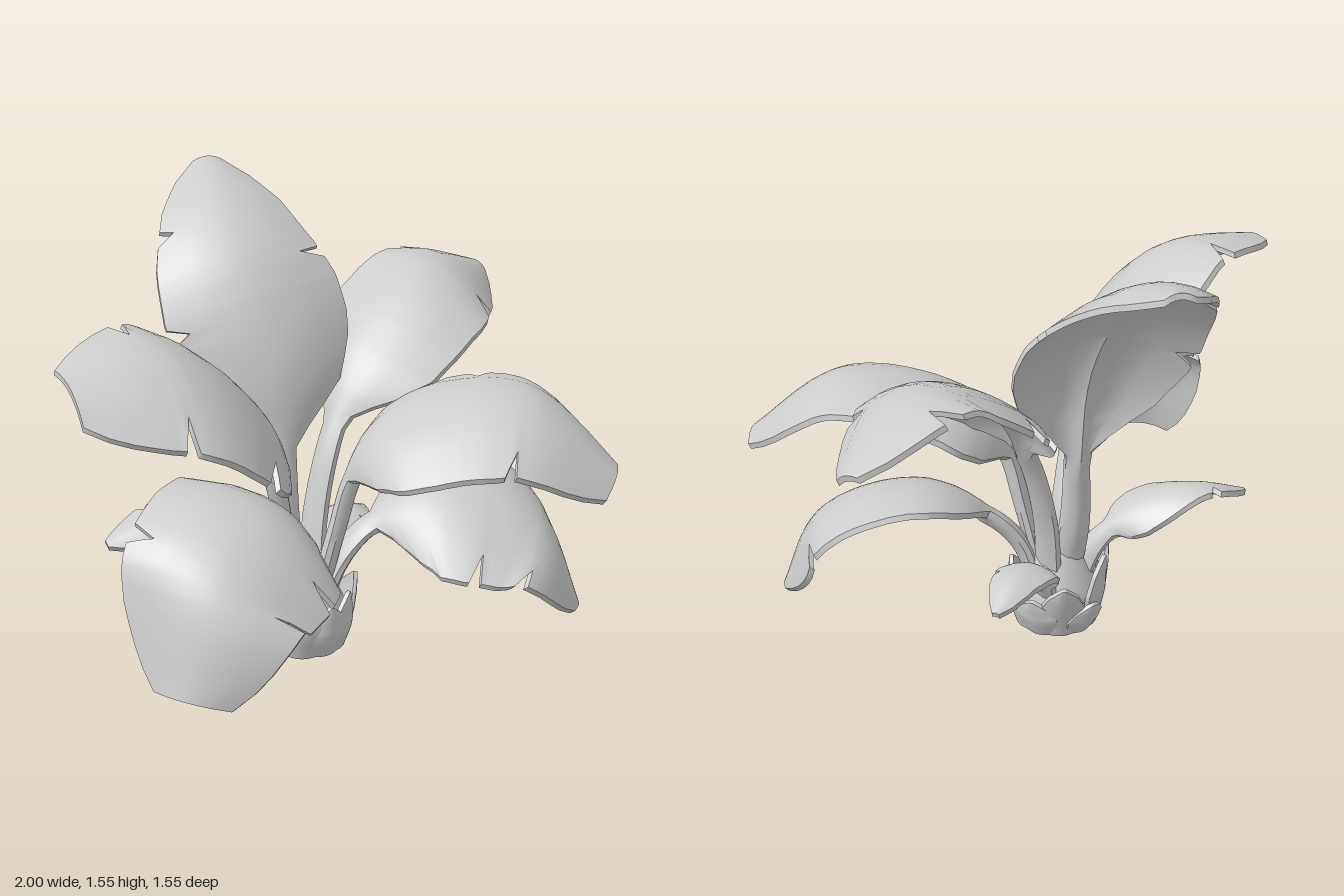
import * as THREE from 'three';
import { toCreasedNormals } from 'three/addons/utils/BufferGeometryUtils.js';

const V = (p) => new THREE.Vector3(...p);
const ACROSS = [-1, -0.62, -0.3, -0.1, 0, 0.1, 0.3, 0.62, 1];

// Half-width along the blade, as a share of the widest point
const BLADE = [[0, 0.13], [0.06, 0.34], [0.15, 0.7], [0.28, 0.95], [0.45, 1], [0.62, 0.95], [0.8, 0.75], [0.92, 0.45], [1, 0.14]];
const TAPERED = [[0, 0.13], [0.06, 0.34], [0.15, 0.74], [0.28, 0.98], [0.4, 1], [0.55, 0.9], [0.75, 0.67], [0.9, 0.42], [1, 0.16]];
const BLUNT = [[0, 0.13], [0.06, 0.34], [0.15, 0.7], [0.28, 0.95], [0.45, 1], [0.62, 0.96], [0.8, 0.82], [0.92, 0.62], [1, 0.38]];
const HUSK = [[0, 0.85], [0.45, 1], [0.75, 0.65], [1, 0.05]];

function sample(table, s) {
  for (let i = 1; i < table.length; i++) {
    const [a, va] = table[i - 1], [b, vb] = table[i];
    if (s <= b) return va + (vb - va) * Math.max(0, (s - a) / (b - a));
  }
  return table[table.length - 1][1];
}

// Lofts a closed slab along a midline: a round stalk that widens into a notched, arched blade.
// side points across the blade; notches are [place along blade, side of blade, depth].
function leafGeometry({ mid, side, width, start = 0.4, fold = 0.32, notches = [], profile = BLADE,
  stalk = 0.042, thick = 0.02, rib = 0.03 }) {
  const curve = new THREE.CatmullRomCurve3(mid.map(V), false, 'centripetal');
  const half = 0.028;
  const stations = new Set();
  for (let i = 0; i <= 30; i++) stations.add(i / 30);
  for (const [s] of notches)
    for (const d of [-half, 0, half]) stations.add(start + (1 - start) * (s + d));
  const rows = [...stations].sort((a, b) => a - b);
  const n = ACROSS.length, m = n * 2;
  const pos = [], index = [];

  for (const t of rows) {
    const s = (t - start) / (1 - start);
    const P = curve.getPoint(t), T = curve.getTangent(t);
    const S = V(side).addScaledVector(T, -V(side).dot(T)).normalize();
    const N = S.clone().cross(T);
    const w = s < 0 ? stalk * (1 + 0.5 * (1 - t / start)) : Math.max(stalk * (1 - s), width * sample(profile, s));
    const ribDepth = rib * (s < 0 ? 1.4 : 1.4 * (1 - s));
    const point = (u, below) => {
      let edge = 1;
      if (Math.abs(u) === 1)
        for (const [ns, nside, depth] of notches)
          if (nside === u) edge -= depth * Math.max(0, 1 - Math.abs(s - ns) / half);
      const v = u * edge;
      let h = fold * w * (0.35 - v * v);
      if (below) {
        const round = s < 0 ? 1 - u * u : Math.max(0, 1 - Math.abs(v) * w / 0.05);
        h -= thick + ribDepth * round;
      }
      const q = P.clone().addScaledVector(S, w * v).addScaledVector(N, h);
      pos.push(q.x, q.y, q.z);
    };
    for (const u of ACROSS) point(u, false);
    for (let j = n - 1; j >= 0; j--) point(ACROSS[j], true);
  }

  for (let i = 0; i < rows.length - 1; i++)
    for (let j = 0; j < m; j++) {
      const a = i * m + j, b = i * m + (j + 1) % m;
      index.push(a, b, b + m, a, b + m, a + m);
    }
  // blunt tip
  const o = (rows.length - 1) * m;
  for (let j = 0; j < n - 1; j++) {
    const a = o + j, b = o + j + 1, c = o + m - 2 - j, d = o + m - 1 - j;
    index.push(a, b, c, a, c, d);
  }
  const g = new THREE.BufferGeometry();
  g.setAttribute('position', new THREE.Float32BufferAttribute(pos, 3));
  g.setIndex(index);
  return toCreasedNormals(g, 0.9);
}

const LEAVES = {
  backLeaf: {
    mid: [[-0.06, 0.15, -0.03], [-0.09, 0.4, -0.07], [-0.08, 0.7, -0.1], [-0.07, 1.03, -0.18], [-0.07, 1.3, -0.34], [-0.01, 1.46, -0.55], [0.07, 1.54, -0.76]],
    side: [0.92, 0.04, 0.32], width: 0.31, start: 0.33, profile: TAPERED, notches: [[0.5, 1, 0.3], [0.36, -1, 0.2], [0.65, -1, 0.2]],
  },
  rightLeaf: {
    mid: [[-0.04, 0.15, -0.03], [0, 0.45, -0.06], [0.1, 0.75, -0.08], [0.29, 0.98, -0.13], [0.6, 1.15, -0.18], [0.99, 1.08, -0.37]],
    side: [0, -0.3, 1], width: 0.28, start: 0.42, notches: [[0.72, 1, 0.3], [0.3, -1, 0.3], [0.38, -1, 0.2], [0.78, -1, 0.35]],
  },
  leftLeaf: {
    mid: [[-0.08, 0.15, -0.02], [-0.13, 0.45, 0], [-0.2, 0.7, 0.04], [-0.35, 0.96, 0.1], [-0.64, 1.18, 0.12], [-0.98, 1.18, 0.07]],
    side: [0, 0.43, -0.9], width: 0.32, profile: BLUNT, notches: [[0.7, -1, 0.35], [0.35, -1, 0.25], [0.42, 1, 0.25], [0.75, 1, 0.35]],
  },
  frontLeftLeaf: {
    mid: [[-0.08, 0.12, 0.02], [-0.14, 0.4, 0.05], [-0.25, 0.59, 0.15], [-0.47, 0.71, 0.34], [-0.74, 0.61, 0.46], [-0.87, 0.29, 0.51]],
    side: [-0.42, 0.48, -0.8], width: 0.33, profile: BLUNT, notches: [[0.42, -1, 0.3], [0.68, -1, 0.35], [0.6, 1, 0.25]],
  },
  frontRightUpperLeaf: {
    mid: [[-0.05, 0.15, 0], [0, 0.45, 0.05], [0.05, 0.68, 0.1], [0.18, 0.84, 0.22], [0.45, 0.9, 0.48], [0.68, 0.69, 0.7]],
    side: [-0.68, -0.22, 0.67], width: 0.31, start: 0.37, profile: BLUNT, notches: [[0.45, -1, 0.35], [0.56, -1, 0.3], [0.7, 1, 0.3]],
  },
  frontRightLowerLeaf: {
    mid: [[-0.04, 0.1, 0], [0.03, 0.33, 0.04], [0.14, 0.46, 0.1], [0.34, 0.54, 0.25], [0.57, 0.43, 0.44], [0.69, 0.15, 0.55]],
    side: [-0.45, -0.4, 0.75], width: 0.31, notches: [[0.5, 1, 0.3], [0.72, 1, 0.25], [0.7, -1, 0.3]],
  },
  smallBackLeftLeaf: {
    mid: [[-0.08, 0.1, -0.05], [-0.15, 0.3, -0.1], [-0.25, 0.42, -0.17], [-0.43, 0.5, -0.25], [-0.66, 0.44, -0.31]],
    side: [-0.3, 0.2, -0.9], width: 0.11, start: 0.35, stalk: 0.035, rib: 0.02, notches: [[0.6, -1, 0.25], [0.75, 1, 0.3]],
  },
  smallBackRightLeaf: {
    mid: [[-0.02, 0.1, -0.06], [0.06, 0.25, -0.1], [0.14, 0.34, -0.14], [0.25, 0.36, -0.19], [0.38, 0.31, -0.26]],
    side: [0.5, 0, 0.85], width: 0.095, start: 0.15, stalk: 0.035, rib: 0.02, notches: [[0.65, 1, 0.25]],
  },
};

// Husks around the stump: angle from the front in degrees, tip height, tip radius, width
const HUSKS = [
  [0, 0.2, 0.17, 0.08], [35, 0.22, 0.17, 0.08], [75, 0.23, 0.2, 0.085], [115, 0.16, 0.19, 0.08],
  [150, 0.23, 0.21, 0.08], [185, 0.13, 0.19, 0.08], [215, 0.28, 0.18, 0.085], [255, 0.27, 0.2, 0.09],
  [285, 0.37, 0.14, 0.08], [320, 0.23, 0.18, 0.08],
];

export function createModel() {
  const plant = new THREE.Group();
  plant.name = 'leafyPlant';
  const grey = new THREE.MeshStandardMaterial({ color: 0xcccccc });
  grey.name = 'light grey';
  const add = (name, geometry) => {
    const mesh = new THREE.Mesh(geometry, grey);
    mesh.name = name;
    plant.add(mesh);
    return mesh;
  };

  // Stump
  const outline = [[0, 0], [0.125, 0.005], [0.15, 0.03], [0.155, 0.1], [0.135, 0.18], [0.09, 0.27], [0.05, 0.34], [0, 0.35]];
  const stump = add('stump', toCreasedNormals(
    new THREE.LatheGeometry(outline.map(([r, y]) => new THREE.Vector2(r, y)), 12), 0.9));
  stump.position.set(-0.06, 0, -0.02);

  // Pointed husks
  HUSKS.forEach(([degrees, top, reach, width], i) => {
    const a = THREE.MathUtils.degToRad(degrees), sx = Math.sin(a), sz = Math.cos(a);
    const at = (r, y) => [-0.06 + sx * r, y, -0.02 + sz * r];
    add('husk' + (i + 1), leafGeometry({
      mid: [at(0.135, 0.01), at(0.16, top * 0.4), at((0.16 + reach) / 2, top * 0.7), at(reach, top)],
      side: [sz, 0, -sx], width, start: 0, fold: 0.35, profile: HUSK, stalk: 0, thick: 0.015, rib: 0,
    }));
  });

  // Leaves with their stalks
  for (const [name, spec] of Object.entries(LEAVES)) add(name, leafGeometry(spec));
  return plant;
}
